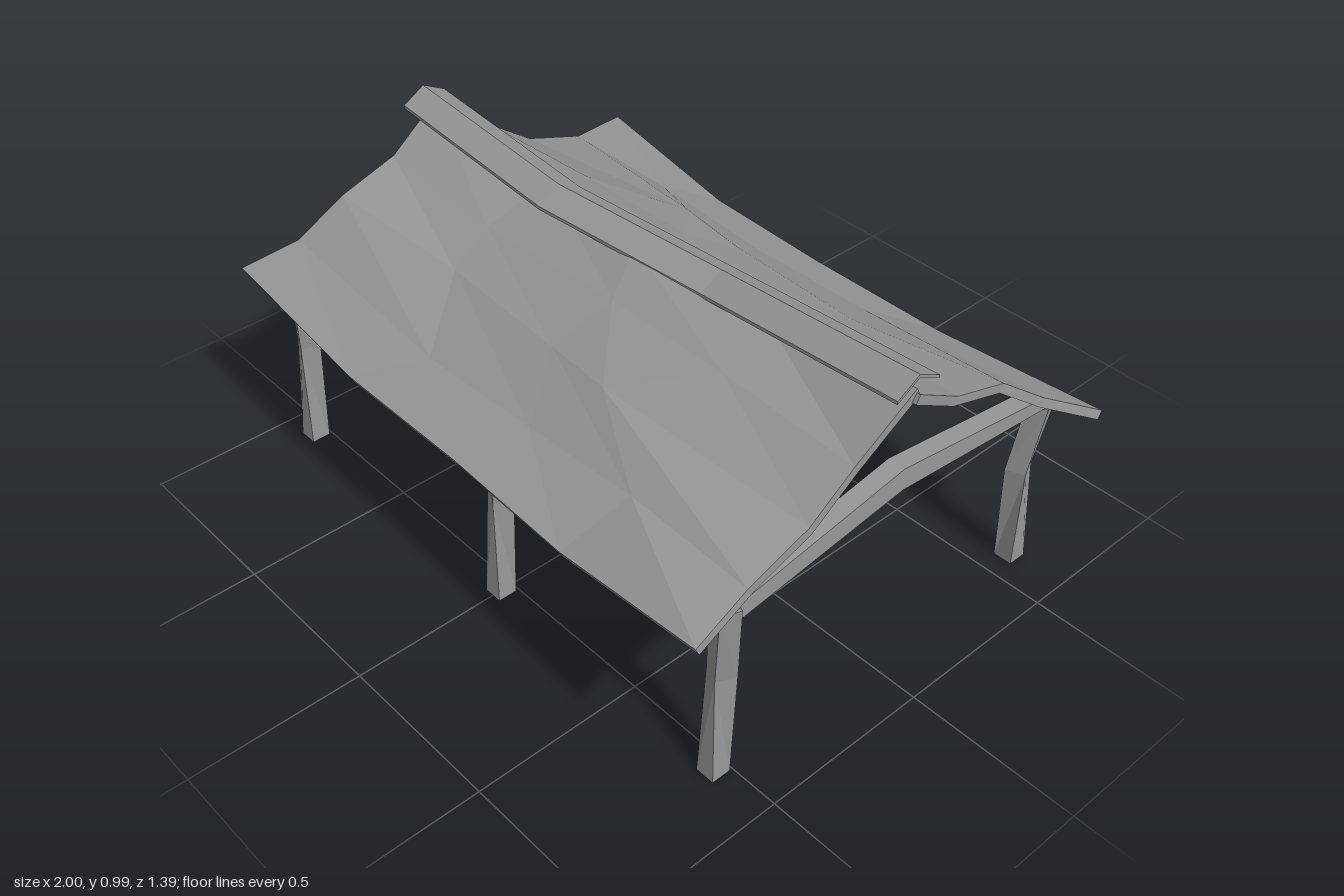
import * as THREE from 'three';

const material = new THREE.MeshStandardMaterial({ color: 0x979797, flatShading: true, side: THREE.DoubleSide });

// Solid through a row of matching closed cross-sections, capped at both ends
function loft(name, sections) {
  const n = sections[0].length;
  const index = [];
  for (let i = 0; i < sections.length - 1; i++) {
    for (let k = 0; k < n; k++) {
      const a = i * n + k, d = i * n + (k + 1) % n;
      const b = a + n, c = d + n;
      if (k < n / 2) index.push(a, b, d, b, c, d);
      else index.push(a, b, c, a, c, d);
    }
  }
  const last = (sections.length - 1) * n;
  for (let k = 0; k < n / 2 - 1; k++) {
    const [p, q, r, s] = [k, k + 1, n - 2 - k, n - 1 - k];
    index.push(p, q, s, q, r, s);
    index.push(last + p, last + s, last + q, last + q, last + s, last + r);
  }
  const geometry = new THREE.BufferGeometry();
  geometry.setAttribute('position', new THREE.Float32BufferAttribute(sections.flat(2), 3));
  geometry.setIndex(index);
  const flat = geometry.toNonIndexed();
  flat.computeVertexNormals();
  const mesh = new THREE.Mesh(flat, material);
  mesh.name = name;
  return mesh;
}

// Closed ring: a top line followed by its lowered, inset copy
const slab = (top, drop, inset) => [...top, ...top.map(([x, y, z]) => [x, y - drop, z - inset]).reverse()];

// Sagging roof sheet: columns across x, each from eave to ridge
function roofPanel(name) {
  const columns = [
    [[-1, 0.59, 0.635], [-0.92, 0.66, 0.49], [-0.89, 0.762, 0.35], [-0.89, 0.818, 0.17], [-0.91, 0.925, 0]],
    [[-0.45, 0.53, 0.655], [-0.3, 0.6, 0.5], [-0.43, 0.725, 0.31], [-0.45, 0.795, 0.18], [-0.4, 0.89, 0]],
    [[0, 0.53, 0.655], [0.1, 0.605, 0.49], [0, 0.72, 0.33], [0.05, 0.815, 0.17], [0, 0.893, 0.045]],
    [[0.43, 0.53, 0.672], [0.48, 0.63, 0.49], [0.22, 0.728, 0.35], [0.45, 0.81, 0.17], [0.4, 0.893, 0]],
    [[0.92, 0.602, 0.696], [0.88, 0.625, 0.5], [0.88, 0.69, 0.31], [0.88, 0.79, 0.17], [0.9, 0.937, 0]],
  ];
  return loft(name, columns.map((c) => slab(c, 0.024, 0.012)));
}

// Bent, slightly twisted post; side is 1 at the front, -1 at the back
function post(name, x, z, side, height) {
  const levels = [[0, 0, 0, 0], [-0.003, 0.33, -0.022, 0.42], [0.022, height, 0, 0.3]];
  return loft(name, levels.map(([dx, y, dz, twist]) => {
    const c = Math.cos(twist * side), s = Math.sin(twist * side), r = 0.0285;
    return [[r, r], [-r, r], [-r, -r], [r, -r]].map(([u, v]) => [
      x + dx + u * c - v * s, y, z + dz * side + u * s + v * c,
    ]);
  }));
}

// Low arched tie beam across one gable
function tieBeam(name, x) {
  const w = 0.026;
  return loft(name, [[0.53, 0.535, 0.588], [-0.02, 0.605, 0.672], [-0.6, 0.553, 0.59]].map(([z, low, high]) => [
    [x + w, high, z], [x - w, high, z], [x - w, low, z], [x + w, low, z],
  ]));
}

export function createModel() {
  const model = new THREE.Group();
  model.name = 'openShelter';

  // Two identical roof sheets, turned back to back
  const back = roofPanel('backRoof');
  back.rotation.y = Math.PI;
  model.add(roofPanel('frontRoof'), back);

  // Thin bent ridge cap: x, peak height, peak z
  const ridge = [[-0.965, 0.95, 0.0], [-0.33, 0.92, 0.025], [0.25, 0.922, -0.015], [0.908, 0.985, 0.007]];
  model.add(loft('ridgeCap', ridge.map(([x, y, z]) => slab(
    [[x, y - 0.04, z + 0.07], [x, y, z], [x, y - 0.038, z - 0.072]], 0.01, 0))));

  // Three posts along each eave: x, front height, back height
  const posts = [['right', -0.893, 0.585, 0.575], ['middle', 0, 0.545, 0.525], ['left', 0.828, 0.575, 0.555]];
  for (const [label, x, frontHeight, backHeight] of posts) {
    model.add(post(label + 'FrontPost', x, 0.538, 1, frontHeight));
    model.add(post(label + 'BackPost', x, -0.592, -1, backHeight));
  }

  // Gable tie beams
  model.add(tieBeam('rightTieBeam', -0.87), tieBeam('leftTieBeam', 0.85));
  return model;
}
